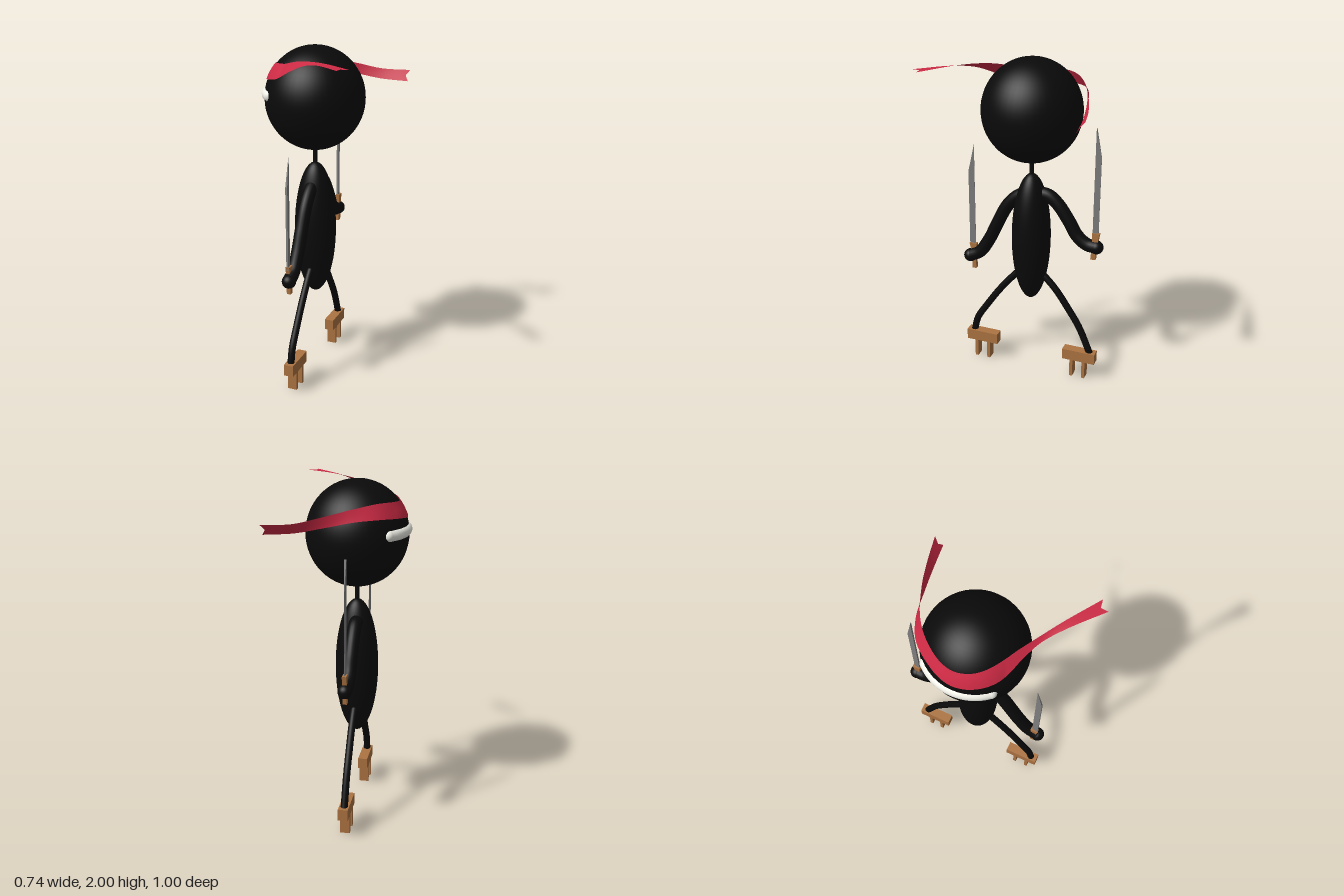
import * as THREE from 'three';

const mat = (color, extra = {}) => {
  const m = new THREE.MeshStandardMaterial({ color });
  return Object.assign(m, extra);
};

const V = (x, y, z) => new THREE.Vector3(x, y, z);
const CX = -0.065, CZ = -0.057; // axis of head and body

export function createModel() {
  const model = new THREE.Group();
  const black = mat(0x0a0a0a);
  const wood = mat(0xad7442);
  const steel = mat(0x808080, { flatShading: true });
  const white = mat(0xeeeee6);
  const red = mat(0xcc2a44, { side: THREE.DoubleSide });

  const add = (name, geometry, material, parent = model) => {
    const mesh = new THREE.Mesh(geometry, material);
    mesh.name = name;
    parent.add(mesh);
    return mesh;
  };
  const ball = (name, material, rx, ry, rz, pos, parent) => {
    const m = add(name, new THREE.SphereGeometry(1, 48, 32), material, parent);
    m.scale.set(rx, ry, rz);
    m.position.copy(pos);
    return m;
  };
  // round limb through [z, y] points in the plane x
  const limb = (name, x, pts, r, parent) => {
    const path = new THREE.CatmullRomCurve3(pts.map(([z, y]) => V(x, y, z)));
    add(name, new THREE.TubeGeometry(path, 48, r, 20), black, parent);
  };
  // flat plate from a [z, y] outline, thickened along x around the plane x
  const plate = (outline, x, thick) => {
    const shape = new THREE.Shape(outline.map(([z, y]) => new THREE.Vector2(z, y)));
    return new THREE.ExtrudeGeometry(shape, { depth: thick, bevelEnabled: false })
      .translate(0, 0, -thick / 2).rotateY(-Math.PI / 2).translate(x, 0, 0);
  };

  // head, neck, body
  ball('head', black, 0.29, 0.3, 0.29, V(CX, 1.7, CZ));
  ball('body', black, 0.125, 0.41, 0.116, V(CX, 0.91, CZ));
  add('neck', new THREE.CylinderGeometry(0.0135, 0.0135, 0.2, 20), black).position.set(CX, 1.37, CZ);

  // pale eye strip curved round the face
  const eye = new THREE.Group();
  eye.name = 'eyeStrip';
  model.add(eye);
  const arc = [];
  for (let i = 0; i <= 8; i++) {
    const a = THREE.MathUtils.degToRad(-42 + i * 10.5);
    arc.push(V(CX - 0.272 * Math.cos(a), 1.727, CZ + 0.272 * Math.sin(a)));
  }
  add('eyeBand', new THREE.TubeGeometry(new THREE.CatmullRomCurve3(arc), 40, 0.033, 20), white, eye);
  for (const p of [arc[0], arc[8]]) ball('eyeEnd', white, 0.033, 0.033, 0.033, p, eye);

  // headband: upper and lower edge points, smoothly joined
  const upper = new THREE.CatmullRomCurve3([
    [0.365, 1.815, -0.5], [0.2, 1.82, -0.465], [0.06, 1.85, -0.42], [-0.1, 1.885, -0.345],
    [-0.2, 1.9, -0.265], [-0.28, 1.895, -0.15], [-0.3, 1.89, -0.06], [-0.27, 1.895, 0.03],
    [-0.18, 1.912, 0.12], [-0.08, 1.94, 0.185], [0.02, 1.957, 0.25], [0.14, 1.966, 0.325],
    [0.33, 1.965, 0.45]].map((p) => V(...p)));
  const lower = new THREE.CatmullRomCurve3([
    [0.365, 1.755, -0.455], [0.2, 1.765, -0.435], [0.06, 1.79, -0.41], [-0.1, 1.82, -0.375],
    [-0.22, 1.825, -0.31], [-0.315, 1.81, -0.17], [-0.345, 1.8, -0.06], [-0.315, 1.81, 0.06],
    [-0.21, 1.832, 0.165], [-0.1, 1.89, 0.215], [0, 1.933, 0.265], [0.11, 1.957, 0.35],
    [0.28, 1.965, 0.5]].map((p) => V(...p)));
  const band = new THREE.PlaneGeometry(1, 1, 96, 4);
  const pos = band.attributes.position;
  for (let i = 0; i < pos.count; i++) {
    const v = pos.getY(i) + 0.5;
    // the middle is drawn in a little, notching the two tails
    const t = 0.5 + pos.getX(i) * (1 - 0.02 * (1 - Math.abs(2 * v - 1)));
    const p = lower.getPoint(t).lerp(upper.getPoint(t), v);
    // keep the cloth just outside the head
    const d = p.clone().sub(V(CX, 1.7, CZ)).divide(V(0.29, 0.3, 0.29));
    if (d.length() < 1.02) p.copy(d.setLength(1.02).multiply(V(0.29, 0.3, 0.29)).add(V(CX, 1.7, CZ)));
    pos.setXYZ(i, p.x, p.y, p.z);
  }
  band.computeVertexNormals();
  add('headband', band, red);

  // the two sides of the striding pose, all outlines as [z, y]
  const sides = [
    {
      name: 'front', x: -0.063,
      arm: [[-0.06, 1.19], [-0.01, 1.185], [0.04, 1.155], [0.1, 1.085], [0.16, 0.965], [0.22, 0.84], [0.28, 0.752], [0.345, 0.716]],
      leg: [[-0.03, 0.71], [0.016, 0.67], [0.135, 0.53], [0.245, 0.37], [0.305, 0.27], [0.33, 0.17]],
      blade: [[0.31, 0.78], [0.347, 0.78], [0.347, 1.275], [0.31, 1.445]],
      handle: [[0.307, 0.63], [0.333, 0.63], [0.336, 0.74], [0.349, 0.8], [0.302, 0.8], [0.308, 0.74]],
      sole: 0.265, teeth: [0.305, 0.223],
    },
    {
      name: 'rear', x: -0.073,
      arm: [[-0.05, 1.18], [-0.1, 1.197], [-0.16, 1.193], [-0.22, 1.145], [-0.285, 1.055], [-0.34, 0.965], [-0.4, 0.918], [-0.462, 0.908]],
      leg: [[-0.08, 0.7], [-0.13, 0.67], [-0.215, 0.585], [-0.3, 0.465], [-0.375, 0.345], [-0.45, 0.17]],
      blade: [[-0.472, 0.98], [-0.437, 0.98], [-0.437, 1.64], [-0.472, 1.47]],
      handle: [[-0.46, 0.83], [-0.43, 0.83], [-0.438, 0.93], [-0.434, 1.0], [-0.48, 1.0], [-0.468, 0.93]],
      sole: -0.383, teeth: [-0.338, -0.417],
    },
  ];
  for (const s of sides) {
    const arm = new THREE.Group();
    arm.name = s.name + 'Arm';
    model.add(arm);
    limb('sleeve', s.x, s.arm, 0.039, arm);
    const [hz, hy] = s.arm[s.arm.length - 1];
    ball('hand', black, 0.041, 0.041, 0.041, V(s.x, hy, hz), arm);

    // sword: wooden grip and blade ground thin along one edge
    const sword = new THREE.Group();
    sword.name = s.name + 'Sword';
    model.add(sword);
    add('grip', plate(s.handle, -0.071, 0.024), wood, sword);
    const blade = plate(s.blade, 0, 0.012);
    const bp = blade.attributes.position;
    const edge = Math.min(...s.blade.map((p) => p[0]));
    for (let i = 0; i < bp.count; i++) {
      const k = bp.getZ(i) < edge + 0.01 ? 0.15 : 1;
      bp.setX(i, bp.getX(i) * k - 0.071);
    }
    blade.computeVertexNormals();
    add('blade', blade, steel, sword);

    limb(s.name + 'Leg', CX, s.leg, 0.021);

    // raised sandal on two teeth
    const sandal = new THREE.Group();
    sandal.name = s.name + 'Sandal';
    model.add(sandal);
    add('sole', new THREE.BoxGeometry(0.058, 0.07, 0.208), wood, sandal).position.set(-0.064, 0.15, s.sole);
    for (const z of s.teeth) {
      add('tooth', new THREE.BoxGeometry(0.058, 0.118, 0.02), wood, sandal).position.set(-0.064, 0.059, z);
    }
  }
  return model;
}
